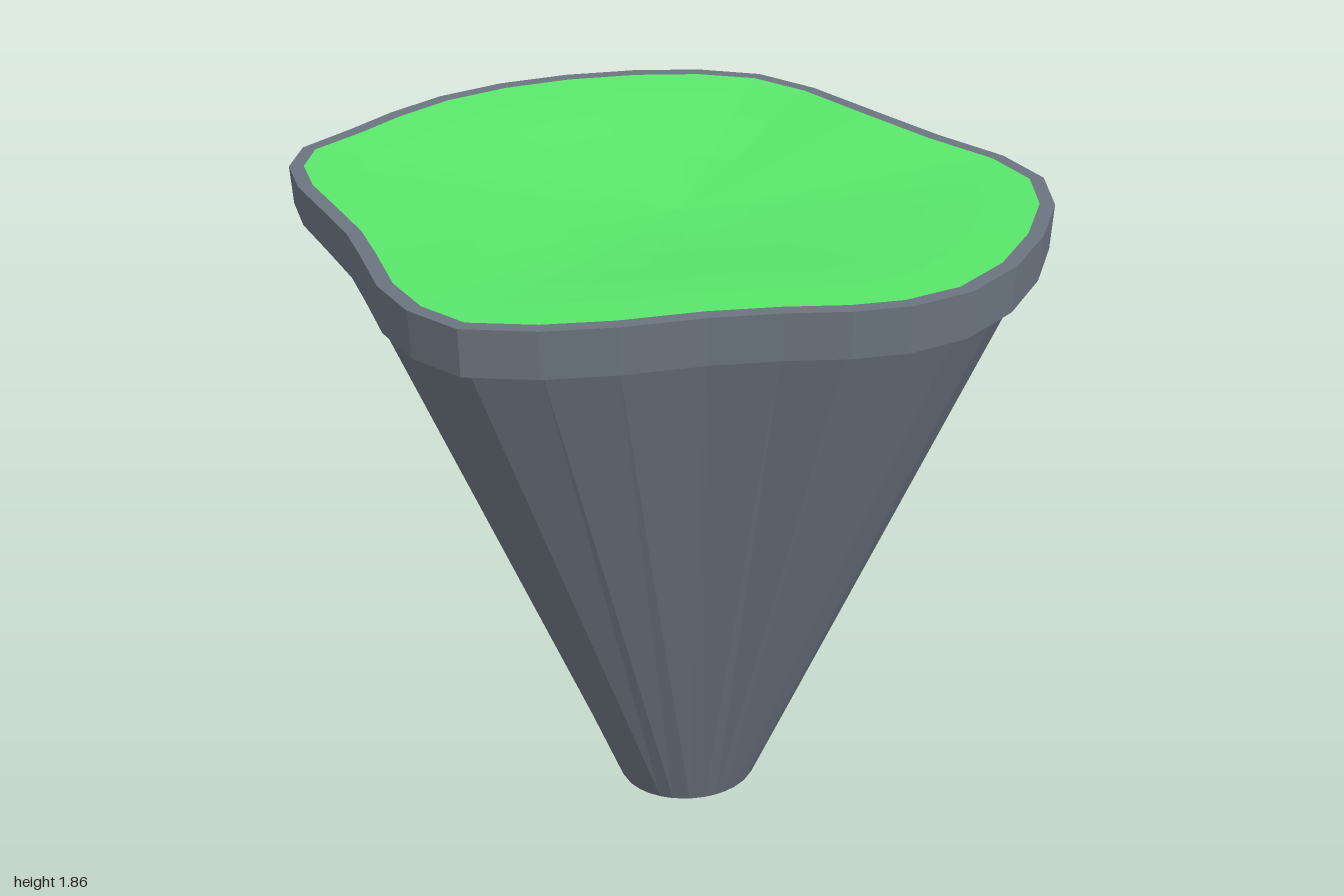
import * as THREE from 'three';

const STONE = 0x6b747f, GRASS = 0x59e66b;

// Plateau outline as [x, z], clockwise seen from above, starting at the back
const OUTLINE = [
  [-0.19, -0.995], [0.03, -1], [0.25, -0.97], [0.45, -0.91], [0.62, -0.81], [0.725, -0.63],
  [0.805, -0.35], [0.885, -0.11], [0.98, 0.11], [0.99, 0.32], [0.905, 0.52], [0.755, 0.71],
  [0.58, 0.87], [0.39, 0.975], [0.21, 1], [0.06, 0.975], [-0.1, 0.92], [-0.28, 0.875],
  [-0.5, 0.845], [-0.69, 0.795], [-0.865, 0.705], [-0.945, 0.55], [-0.97, 0.37], [-0.955, 0.15],
  [-0.95, 0], [-0.97, -0.19], [-0.99, -0.37], [-0.975, -0.54], [-0.9, -0.68], [-0.73, -0.78],
  [-0.58, -0.87], [-0.4, -0.95],
];

// Piecewise linear lookup over [position, value] pairs in rising order
function lookup(pairs, v) {
  if (v <= pairs[0][0]) return pairs[0][1];
  for (let i = 1; i < pairs.length; i++) {
    const [a, p] = pairs[i - 1], [b, q] = pairs[i];
    if (v <= b) return p + ((q - p) * (v - a)) / (b - a);
  }
  return pairs[pairs.length - 1][1];
}

// The plateau rises gently towards the back
const rimTop = z => lookup([[-1, 1.86], [-0.75, 1.843], [-0.35, 1.836], [0.1, 1.82]], z);
const rimBottom = z => lookup([[-1, 1.755], [-0.75, 1.735], [-0.35, 1.722], [0.1, 1.69]], z);

// Shrink a closed outline by a fixed distance
function inset(pts, d) {
  const n = pts.length;
  return pts.map(([x, z], i) => {
    const a = pts[(i + n - 1) % n], b = pts[(i + 1) % n];
    const dx = b[0] - a[0], dz = b[1] - a[1], l = Math.hypot(dx, dz);
    return [x - (dz / l) * d, z + (dx / l) * d];
  });
}

// Skin a stack of closed rings of [x, y, z] points
function loft(name, color, rings) {
  const n = rings[0].length, index = [];
  for (let r = 0; r + 1 < rings.length; r++) {
    for (let i = 0; i < n; i++) {
      const j = (i + 1) % n, a = r * n, b = a + n;
      index.push(a + i, b + i, b + j, a + i, b + j, a + j);
    }
  }
  const geo = new THREE.BufferGeometry();
  geo.setAttribute('position', new THREE.Float32BufferAttribute(rings.flat(2), 3));
  geo.setIndex(index);
  geo.computeVertexNormals();
  const mesh = new THREE.Mesh(geo, new THREE.MeshStandardMaterial({ color, flatShading: true }));
  mesh.name = name;
  return mesh;
}

const place = (pts, height) => pts.map(([x, z]) => [x, height(z), z]);
const mix = (a, b, t) => a + (b - a) * t;

export function createModel() {
  const group = new THREE.Group();
  group.name = 'floatingIsland';
  const lawn = inset(OUTLINE, 0.042);

  // Stone rim around the plateau
  group.add(loft('rim', STONE, [
    place(inset(OUTLINE, 0.1), rimBottom),
    place(inset(OUTLINE, 0.006), rimBottom),
    place(OUTLINE, rimTop),
    place(lawn, rimTop),
  ]));

  // Grass: level near the rim, a shallow hollow in the middle
  const grassRings = [1, 0.85, 0.7, 0.55, 0.4, 0.2, 0].map(k =>
    lawn.map(([x, z]) => [x * k, mix(1.83, rimTop(z), k) - 0.075 * (1 - k * k) ** 2, z * k]));
  group.add(loft('grass', GRASS, grassRings));

  // Main rock: straight taper to a small oval foot
  const rockTop = [
    ...inset(OUTLINE, 0.035).slice(6, 26),
    [-0.86, -0.34], [-0.7, -0.46], [-0.4, -0.55], [0, -0.57], [0.4, -0.52],
  ];
  const foot = rockTop.map(([x, z]) => {
    const a = Math.atan2((z - 0.2) / 0.76, (x - 0.01) / 0.94);
    return [-0.04 + 0.21 * Math.cos(a), 0, 0.175 + 0.195 * Math.sin(a)];
  });
  group.add(loft('mainRock', STONE, [
    foot.map(() => [-0.04, 0, 0.175]),
    foot,
    place(rockTop, z => rimBottom(z) + 0.02),
  ]));

  // Rear rock: short stub flaring up to the back of the rim, fuller on its left
  const under = inset(OUTLINE, 0.055);
  const rearTop = [...under.slice(25), ...under.slice(0, 7), [0.4, -0.2], [-0.05, -0.15], [-0.5, -0.2]];
  const cx = -0.06, cz = -0.4, r = 0.2, y0 = 0.765;
  // Each level: height, flare, flare on the left side
  const levels = [
    [0, 0, 0], [0.235, 0.06, 0.14], [0.405, 0.2, 0.3], [0.64, 0.47, 0.56], [0.8, 0.7, 0.77], [1, 1, 1],
  ];
  const rearRings = levels.map(([h, flare, leftFlare]) =>
    rearTop.map(([x, z]) => {
      const a = Math.atan2(z - cz, x - cx);
      return [
        mix(cx + r * Math.cos(a), x, x > cx ? leftFlare : flare),
        mix(y0, rimBottom(z) + 0.02, h),
        mix(cz + r * Math.sin(a), z, flare),
      ];
    }));
  group.add(loft('rearRock', STONE, [rearTop.map(() => [cx, y0, cz]), ...rearRings]));

  return group;
}
